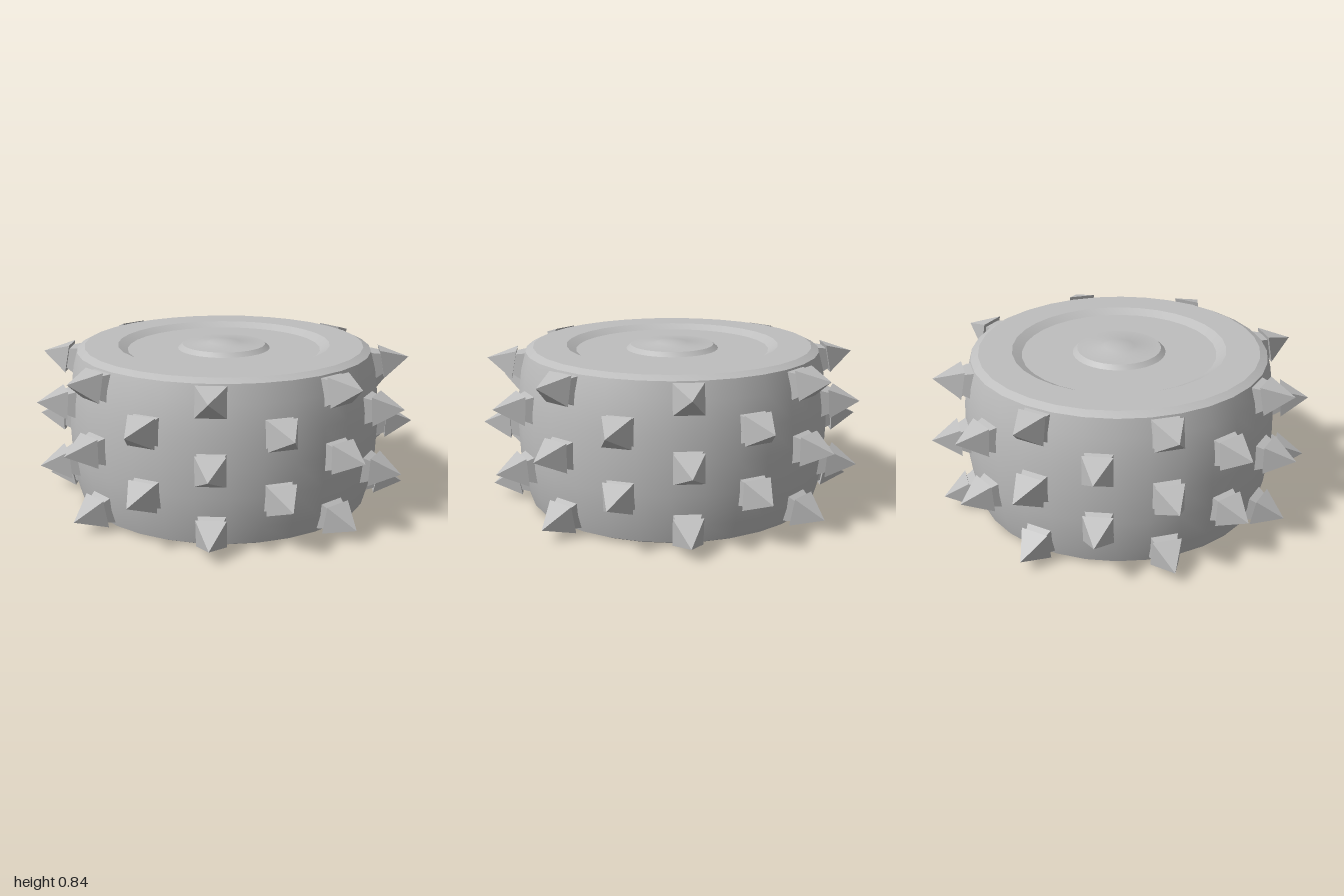
import * as THREE from 'three';
import { toCreasedNormals, mergeGeometries } from 'three/addons/utils/BufferGeometryUtils.js';

export function createModel() {
  const model = new THREE.Group();
  model.name = 'spikedWheel';
  const grey = new THREE.MeshStandardMaterial({ color: 0xbebebe });
  grey.name = 'plain grey';

  const lathe = (name, points) => {
    const profile = points.map(([r, y]) => new THREE.Vector2(r, y));
    const geometry = toCreasedNormals(new THREE.LatheGeometry(profile, 32), 0.38);
    const mesh = new THREE.Mesh(geometry, grey);
    mesh.name = name;
    model.add(mesh);
  };

  // Barrel-shaped tyre with a hollow underside and a shallow dish on top
  lathe('wheelBody', [
    [0, 0.23], [0.52, 0.23], [0.52, 0.005], [0.735, 0], [0.775, 0.02],
    [0.8, 0.11], [0.82, 0.27], [0.825, 0.42], [0.82, 0.57], [0.8, 0.72],
    [0.775, 0.812], [0.735, 0.832], [0.56, 0.832], [0.51, 0.805], [0, 0.805],
  ]);

  // Raised hub with a slightly domed cap
  lathe('hub', [[0.245, 0.804], [0.22, 0.827], [0.09, 0.834], [0.08, 0.838], [0, 0.839]]);

  // Stud: flared square neck under a wider pyramid, tip at the local origin along +z
  const neck = new THREE.CylinderGeometry(0.05 * Math.SQRT2, 0.085 * Math.SQRT2, 0.1, 4);
  neck.translate(0, -0.185, 0);
  const point = new THREE.ConeGeometry(0.074 * Math.SQRT2, 0.145, 4);
  point.translate(0, -0.0725, 0);
  const stud = mergeGeometries([neck, point]);
  stud.rotateY(Math.PI / 4);
  stud.rotateX(Math.PI / 2);
  const studGeometry = toCreasedNormals(stud, 0.2);

  // Five staggered rows of eight: height of tip, radius of tip, start angle, upward tilt (degrees)
  const rows = [
    [0.07, 0.975, 28, -11],
    [0.25, 1.0, 5.5, -4],
    [0.42, 1.01, 28, 0],
    [0.59, 1.0, 5.5, 4],
    [0.77, 0.975, 28, 11],
  ];
  const deg = Math.PI / 180;
  rows.forEach(([y, radius, start, tilt], i) => {
    const row = new THREE.Group();
    row.name = `spikeRow${i + 1}`;
    for (let k = 0; k < 8; k++) {
      const angle = (start + k * 45) * deg;
      const spike = new THREE.Mesh(studGeometry, grey);
      spike.name = 'spike';
      spike.position.set(Math.sin(angle) * radius, y, Math.cos(angle) * radius);
      spike.rotation.set(-tilt * deg, angle, 0, 'YXZ');
      row.add(spike);
    }
    model.add(row);
  });

  return model;
}
